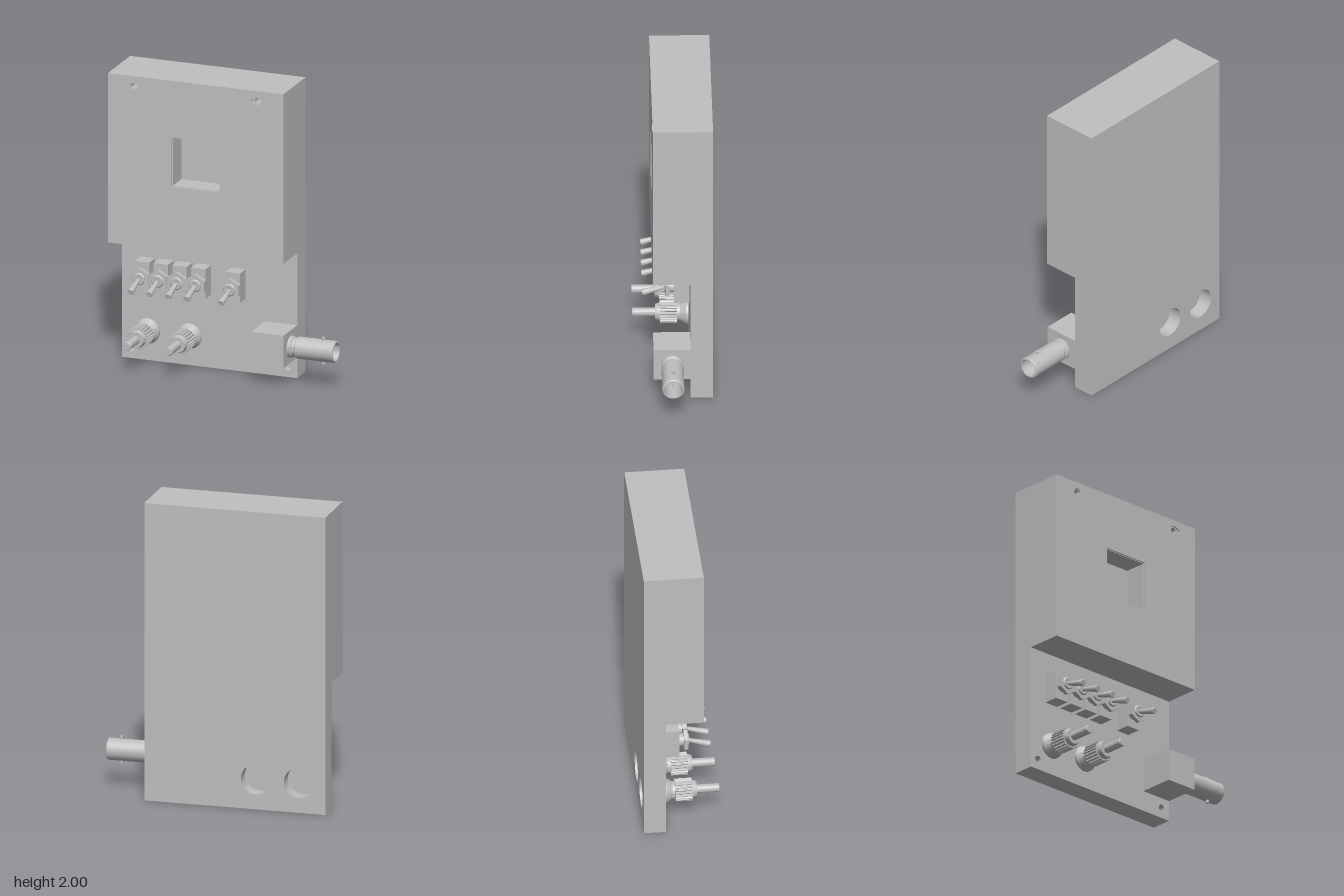
import * as THREE from 'three';
import { toCreasedNormals } from 'three/addons/utils/BufferGeometryUtils.js';

const grey = new THREE.MeshStandardMaterial({ color: 0xbfbfbf });
grey.name = 'grey';

function add(parent, name, geometry, x = 0, y = 0, z = 0) {
  const mesh = new THREE.Mesh(geometry, grey);
  mesh.name = name;
  mesh.position.set(x, y, z);
  parent.add(mesh);
  return mesh;
}

// Outline helpers
function rect(x0, y0, x1, y1, Type = THREE.Shape) {
  const s = new Type();
  s.moveTo(x0, y0);
  s.lineTo(x1, y0);
  s.lineTo(x1, y1);
  s.lineTo(x0, y1);
  s.closePath();
  return s;
}
function oval(x, y, rx, ry = rx) {
  const p = new THREE.Path();
  p.absellipse(x, y, rx, ry, 0, Math.PI * 2);
  return p;
}

// A slab between two depths, with cut-outs
function slab(parent, name, outline, holes, z0, z1) {
  outline.holes = holes;
  const g = new THREE.ExtrudeGeometry(outline, { depth: z1 - z0, bevelEnabled: false, curveSegments: 16 });
  return add(parent, name, toCreasedNormals(g, 0.6), 0, 0, z0);
}

// Turned part from [radius, height] pairs, sharp at its corners
function turned(points, segments = 40) {
  const g = new THREE.LatheGeometry(points.map(([r, h]) => new THREE.Vector2(r, h)), segments);
  return toCreasedNormals(g, 0.4);
}

function makeSwitch(x) {
  const s = new THREE.Group();
  s.name = 'toggleSwitch';
  s.position.set(x, 0.597, 0);
  add(s, 'switchBody', new THREE.BoxGeometry(0.1, 0.2, 0.1), 0, 0, -0.06);
  add(s, 'bushing', turned([[0.042, -0.01], [0.042, 0.05], [0.036, 0.057], [0.018, 0.057], [0, 0.05]], 24).rotateX(Math.PI / 2));
  const nut = new THREE.CylinderGeometry(0.074, 0.074, 0.026, 6).toNonIndexed();
  nut.computeVertexNormals();
  add(s, 'hexNut', nut.rotateX(Math.PI / 2), 0, 0, 0.034);
  // Lever tilts downward and thickens towards its tip
  const lever = turned([[0.013, 0], [0.014, 0.03], [0.022, 0.15], [0.019, 0.156], [0, 0.156]], 20);
  add(s, 'lever', lever.rotateX(Math.PI / 2 + 0.28), 0, -0.003, 0.044);
  return s;
}

function makePost(x) {
  const p = new THREE.Group();
  p.name = 'bindingPost';
  p.position.set(x, 0.2, 0);
  add(p, 'postCore', turned([
    [0.085, -0.11], [0.085, -0.095], [0.06, -0.055], [0.06, 0.08], [0.052, 0.105],
    [0.028, 0.105], [0.028, 0.25], [0.024, 0.255], [0, 0.255]
  ]).rotateX(Math.PI / 2));
  // Knurled grip
  const grip = new THREE.Shape();
  const teeth = 22;
  for (let i = 0; i < teeth * 4; i++) {
    const r = i % 4 < 2 ? 0.074 : 0.066;
    const a = (i / (teeth * 4)) * Math.PI * 2;
    if (i === 0) grip.moveTo(r, 0);
    else grip.lineTo(r * Math.cos(a), r * Math.sin(a));
  }
  grip.closePath();
  slab(p, 'knurledGrip', grip, [], -0.035, 0.075);
  return p;
}

function makeConnector() {
  const c = new THREE.Group();
  c.name = 'coaxConnector';
  add(c, 'connectorBlock', new THREE.BoxGeometry(0.225, 0.22, 0.24), 0.3375, 0.25, 0.01);
  const barrel = turned([
    [0.072, 0], [0.072, 0.02], [0.062, 0.026], [0.062, 0.048], [0.072, 0.054],
    [0.072, 0.312], [0.066, 0.318], [0.059, 0.318], [0.059, 0.14], [0, 0.14]
  ]);
  add(c, 'barrel', barrel.rotateZ(-Math.PI / 2), 0.45, 0.25, 0.008);
  const pin = new THREE.CylinderGeometry(0.009, 0.009, 0.13, 16);
  add(c, 'centrePin', pin.rotateZ(Math.PI / 2), 0.65, 0.25, 0.008);
  // Bayonet lugs above and below
  for (const side of [-1, 1]) {
    add(c, 'bayonetLug', new THREE.CylinderGeometry(0.011, 0.011, 0.027, 16), 0.68, 0.25 + side * 0.0775, 0.008);
  }
  return c;
}

export function createModel() {
  const model = new THREE.Group();
  model.name = 'controlBox';

  const L = -0.77, R = 0.45, step = 0.85;
  const posts = [-0.59, -0.3];

  // Base plate with two rear recesses and two blind screw holes
  slab(model, 'backPlate', rect(L, 0, R, 2), posts.map((x) => oval(x, 0.2, 0.1)), -0.255, -0.16);
  slab(model, 'frontPlate', rect(L, 0, R, 2), [oval(-0.705, 0.07, 0.025), oval(0.385, 0.07, 0.025)], -0.16, -0.11);

  // Raised upper housing with a square window recess and two mounting holes
  slab(model, 'housingBase', rect(L, step, R, 2), [], -0.11, -0.025);
  slab(model, 'housing', rect(L, step, R, 2), [
    rect(-0.323, 1.285, 0.003, 1.611, THREE.Path), oval(-0.59, 1.932, 0.02), oval(0.27, 1.932, 0.02)
  ], -0.025, 0.125);
  slab(model, 'housingFace', rect(L, step, R, 2), [
    rect(-0.328, 1.28, 0.008, 1.616, THREE.Path), oval(-0.59, 1.932, 0.025), oval(0.27, 1.932, 0.04, 0.026)
  ], 0.125, 0.135);

  for (const x of [-0.59, -0.46, -0.33, -0.2, 0.04]) model.add(makeSwitch(x));
  for (const x of posts) model.add(makePost(x));
  model.add(makeConnector());
  return model;
}
